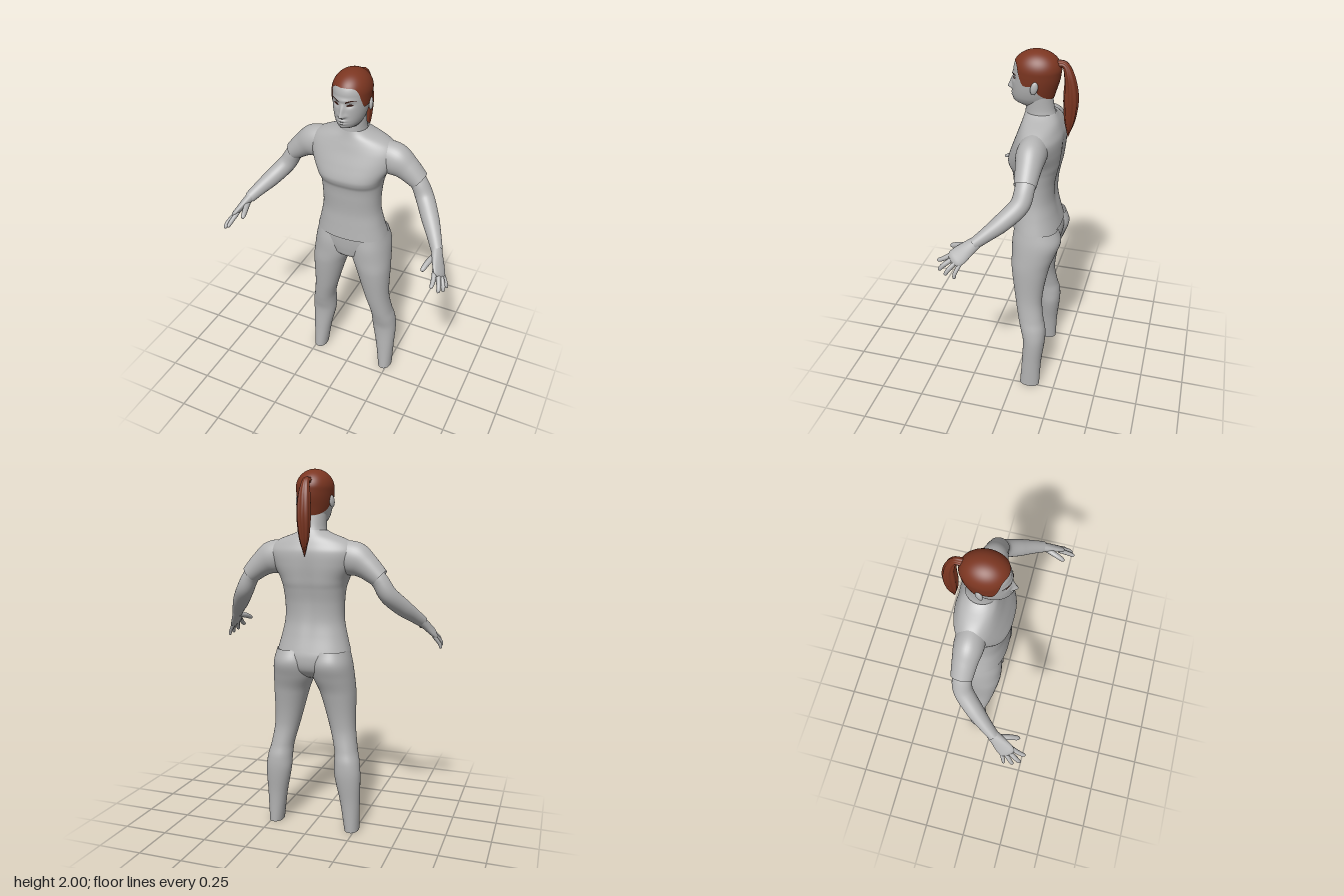
import * as THREE from 'three';
import { mergeVertices } from 'three/addons/utils/BufferGeometryUtils.js';

const grey = new THREE.MeshStandardMaterial({ color: 0xb4b4b4, side: THREE.DoubleSide });
grey.name = 'grey body';
const brown = new THREE.MeshStandardMaterial({ color: 0x7c3621, side: THREE.DoubleSide });
brown.name = 'red brown hair';
const dark = new THREE.MeshStandardMaterial({ color: 0x33160f, side: THREE.DoubleSide });
dark.name = 'dark brown eyes';

const TAU = Math.PI * 2;
const bell = (d, w) => Math.exp(-((d / w) ** 2));

// Smooth interpolation of table rows, keyed by their first column (ascending)
function sample(rows, t) {
  const last = rows.length - 1;
  let i = 0;
  while (i < last - 1 && t > rows[i + 1][0]) i++;
  const a = rows[i], b = rows[i + 1], h = b[0] - a[0];
  const s = Math.min(1, Math.max(0, (t - a[0]) / h));
  const slope = (k, c) => {
    const p = rows[Math.max(0, k - 1)], q = rows[Math.min(last, k + 1)];
    return (q[c] - p[c]) / (q[0] - p[0]);
  };
  return a.map((v, c) => {
    const s2 = s * s, s3 = s2 * s;
    return v * (2 * s3 - 3 * s2 + 1) + b[c] * (3 * s2 - 2 * s3)
      + h * (slope(i, c) * (s3 - 2 * s2 + s) + slope(i + 1, c) * (s3 - s2));
  });
}

// Surface from a function of u and v, both 0..1
function grid(fn, nu, nv) {
  const pos = [], index = [];
  for (let j = 0; j <= nv; j++)
    for (let i = 0; i <= nu; i++) pos.push(...fn(i / nu, j / nv));
  for (let j = 0; j < nv; j++)
    for (let i = 0; i < nu; i++) {
      const a = j * (nu + 1) + i, b = a + 1, c = b + nu + 1, d = a + nu + 1;
      index.push(a, b, c, a, c, d);
    }
  let g = new THREE.BufferGeometry();
  g.setAttribute('position', new THREE.Float32BufferAttribute(pos, 3));
  g.setIndex(index);
  g = mergeVertices(g, 1e-6);
  g.computeVertexNormals();
  return g;
}

// Stack of level rings; rows: y, centre x, half width, front z, back z, squareness
function stack(rows, nu, nv, tweak = (x, y, z) => z) {
  const y0 = rows[0][0], y1 = rows[rows.length - 1][0];
  return grid((u, v) => {
    const [y, cx, rx, zf, zb, n] = sample(rows, y0 + (y1 - y0) * v);
    const s = Math.sin(u * TAU), c = Math.cos(u * TAU);
    const bend = (k) => Math.sign(k) * Math.abs(k) ** (2 / n);
    const x = cx + rx * bend(s), z = (zf + zb) / 2 + ((zf - zb) / 2) * bend(c);
    return [x, y, tweak(x, y, z)];
  }, nu, nv);
}

// Limb along a path; rows: step, x, y, z, radius along ref, radius across ref
function limb(rows, ref, nu, nv, cap = false, ripple = () => 1) {
  const end = rows[rows.length - 1][0];
  const r = new THREE.Vector3(...ref);
  return grid((u, v) => {
    const t = v * end, a = u * TAU;
    const q = sample(rows, t);
    const p0 = sample(rows, Math.max(0, t - 0.02)), p1 = sample(rows, Math.min(end, t + 0.02));
    const tan = new THREE.Vector3(p1[1] - p0[1], p1[2] - p0[2], p1[3] - p0[3]).normalize();
    const n1 = r.clone().addScaledVector(tan, -r.dot(tan)).normalize();
    const n2 = tan.clone().cross(n1);
    const round = cap && v > 0.8 ? Math.sqrt(Math.max(0, 1 - ((v - 0.8) / 0.2) ** 2)) : 1;
    const k = round * ripple(a, v);
    return new THREE.Vector3(q[1], q[2], q[3])
      .addScaledVector(n1, q[4] * k * Math.cos(a))
      .addScaledVector(n2, q[5] * k * Math.sin(a)).toArray();
  }, nu, nv);
}

function flip(geometry) {
  const g = geometry.clone().scale(-1, 1, 1);
  const ix = g.index.array;
  for (let i = 0; i < ix.length; i += 3) [ix[i], ix[i + 1]] = [ix[i + 1], ix[i]];
  g.computeVertexNormals();
  return g;
}

// Skull outline: jaw from rows, crown as half an ellipsoid
const JAW = [
  [1.712, 0.045, -0.005, -0.13], [1.724, 0.05, 0.032, -0.14], [1.736, 0.059, 0.048, -0.145],
  [1.76, 0.072, 0.056, -0.155], [1.80, 0.084, 0.057, -0.167], [1.85, 0.092, 0.055, -0.182],
  [1.90, 0.096, 0.05, -0.19],
];
function skull(y) {
  if (y < 1.9) return sample(JAW, y).slice(1);
  const k = Math.sqrt(Math.max(0, 1 - ((y - 1.9) / 0.1) ** 2));
  return [0.096 * k, -0.07 + 0.12 * k, -0.07 - 0.12 * k];
}
// Nose, eye sockets, brow, lips and chin
function features(x, y) {
  const ridge = y < 1.8 ? bell(y - 1.8, 0.01) : Math.max(0, 1 - (y - 1.8) / 0.065);
  return 0.027 * ridge * bell(x, 0.011 + 0.006 * bell(y - 1.8, 0.013))
    - 0.009 * bell(Math.abs(x) - 0.036, 0.018) * bell(y - 1.856, 0.013)
    + 0.004 * bell(x, 0.06) * bell(y - 1.88, 0.01)
    + 0.008 * bell(x, 0.022) * (bell(y - 1.773, 0.006) + bell(y - 1.758, 0.006))
    + 0.005 * bell(x, 0.02) * bell(y - 1.735, 0.012);
}
function headPoint(a, y, scale = 1) {
  const [rx, zf, zb] = skull(y);
  const x = rx * scale * Math.sin(a), c = Math.cos(a);
  const z = (zf + zb) / 2 + ((zf - zb) / 2) * scale * c;
  return [x, y, z + (c > 0 ? features(x, y) : 0)];
}
// Thin patch lying on the face
function facePatch(x0, x1, mid, half) {
  return grid((u, v) => {
    const x = x0 + (x1 - x0) * u, y = mid(u) + (v * 2 - 1) * half(u);
    const p = headPoint(Math.asin(x / skull(y)[0]), y);
    return [p[0], p[1], p[2] + 0.003];
  }, 14, 4);
}

export function createModel() {
  const model = new THREE.Group();
  const add = (name, geometry, material = grey) => {
    const m = new THREE.Mesh(geometry, material);
    m.name = name;
    model.add(m);
  };
  const pair = (name, geometry, material) => {
    add(name + 'Left', geometry, material);
    add(name + 'Right', flip(geometry), material);
  };

  // Head and face
  add('head', grid((u, v) => headPoint(u * TAU, 1.712 + 0.25 * v), 128, 96));
  pair('eye', facePatch(0.02, 0.054, (u) => 1.855 + 0.003 * u, (u) => 0.0065 * Math.sin(Math.PI * u) + 0.0005), dark);
  pair('eyebrow', facePatch(0.017, 0.066, (u) => 1.872 + 0.01 * Math.sin(u * 2.3), (u) => 0.0045 - 0.003 * u), dark);
  pair('ear', new THREE.SphereGeometry(1, 20, 14).scale(0.011, 0.033, 0.019)
    .rotateX(-0.2).rotateY(0.3).translate(0.097, 1.832, -0.078));
  add('neck', stack([
    [1.60, 0, 0.075, -0.02, -0.185, 2], [1.66, 0, 0.072, -0.012, -0.175, 2],
    [1.70, 0, 0.067, -0.013, -0.162, 2], [1.78, 0, 0.068, -0.02, -0.15, 2],
  ], 40, 14));

  // Hair cap rising from the hairline, and ponytail
  const hairline = [[0, 1.943], [0.7, 1.932], [1.0, 1.87], [1.2, 1.838], [1.6, 1.835],
    [2.0, 1.79], [2.5, 1.765], [3.2, 1.758]];
  add('hairCap', grid((u, v) => {
    const a = u * TAU, low = sample(hairline, Math.min(a, TAU - a))[1];
    return headPoint(a, low + (2 - low) * Math.sin(v * Math.PI / 2), 1.04);
  }, 96, 40), brown);
  add('ponytail', limb([
    [0, 0, 1.935, -0.165, 0.022, 0.02], [1, 0, 1.93, -0.212, 0.02, 0.018],
    [2, 0, 1.86, -0.238, 0.032, 0.028], [3, 0, 1.76, -0.246, 0.036, 0.037],
    [4, 0, 1.65, -0.243, 0.026, 0.028], [5, 0, 1.545, -0.236, 0.005, 0.005],
  ], [1, 0, 0], 48, 60, true, (a, v) => 1 + 0.07 * Math.sin(8 * a + 4 * v)), brown);

  // Shirt body with a spine groove
  add('shirt', stack([
    [1.035, 0, 0.205, 0.046, -0.222, 2.3], [1.12, 0, 0.183, 0.04, -0.2, 2.3],
    [1.20, 0, 0.167, 0.036, -0.186, 2.3], [1.29, 0, 0.165, 0.042, -0.188, 2.4],
    [1.37, 0, 0.172, 0.05, -0.202, 2.5], [1.40, 0, 0.179, 0.064, -0.209, 2.6],
    [1.43, 0, 0.19, 0.069, -0.213, 2.6], [1.50, 0, 0.228, 0.048, -0.22, 2.4],
    [1.57, 0, 0.247, 0.022, -0.22, 2.2], [1.61, 0, 0.228, 0.009, -0.208, 2],
    [1.64, 0, 0.175, -0.001, -0.196, 2], [1.665, 0, 0.105, -0.008, -0.182, 2],
    [1.682, 0, 0.074, -0.012, -0.172, 2],
  ], 72, 80, (x, y, z) => z + (z < -0.1 ? 0.013 * bell(x, 0.035) * bell(y - 1.36, 0.2) : 0)));
  pair('sleeve', limb([
    [0, 0.17, 1.545, -0.1, 0.075, 0.088], [1, 0.24, 1.53, -0.1, 0.076, 0.09],
    [2, 0.3, 1.495, -0.103, 0.066, 0.07], [3, 0.372, 1.435, -0.105, 0.056, 0.052],
  ], [0, 0, 1], 40, 24));

  // Arms
  pair('arm', limb([
    [0, 0.32, 1.475, -0.105, 0.05, 0.046], [1, 0.372, 1.42, -0.104, 0.05, 0.046],
    [2, 0.415, 1.347, -0.088, 0.05, 0.049], [3, 0.475, 1.277, -0.018, 0.046, 0.047],
    [4, 0.525, 1.225, 0.05, 0.036, 0.038], [5, 0.562, 1.185, 0.105, 0.029, 0.031],
  ], [0, 0, 1], 36, 50));

  // Hands: flat palm with separate fingers
  pair('palm', limb([
    [0, 0.555, 1.193, 0.092, 0.031, 0.027], [1, 0.576, 1.164, 0.13, 0.039, 0.023],
    [2, 0.6, 1.13, 0.17, 0.047, 0.018], [3, 0.622, 1.1, 0.207, 0.045, 0.014],
  ], [0.03, -0.04, -0.06], 28, 24, true));
  const fingers = {
    indexFinger: [[0.588, 1.133, 0.195], [0.6, 1.1, 0.25], [0.602, 1.083, 0.287], 0.012],
    middleFinger: [[0.604, 1.12, 0.19], [0.63, 1.08, 0.243], [0.637, 1.05, 0.268], 0.012],
    ringFinger: [[0.614, 1.108, 0.175], [0.645, 1.065, 0.215], [0.652, 1.035, 0.231], 0.011],
    littleFinger: [[0.618, 1.098, 0.158], [0.647, 1.055, 0.178], [0.656, 1.025, 0.182], 0.01],
    thumb: [[0.562, 1.168, 0.122], [0.543, 1.155, 0.185], [0.53, 1.133, 0.24], 0.015],
  };
  for (const [name, [a, b, c, r]] of Object.entries(fingers))
    pair(name, limb([[0, ...a, r * 1.1, r * 1.1], [1, ...b, r, r], [2, ...c, r * 0.8, r * 0.8]],
      [1, 0, 0], 14, 18, true));

  // Hips and legs
  add('hips', stack([
    [0.872, 0, 0.03, -0.03, -0.12, 2], [0.89, 0, 0.12, 0.012, -0.165, 2],
    [0.93, 0, 0.195, 0.026, -0.212, 2], [1.0, 0, 0.208, 0.034, -0.225, 2.2],
    [1.08, 0, 0.19, 0.036, -0.205, 2.2],
  ], 56, 24));
  // Leg rows given as y, inner x, outer x, front z, back z
  const leg = [
    [0, 0.19, 0.27, -0.04, -0.157], [0.17, 0.165, 0.275, -0.05, -0.165],
    [0.33, 0.133, 0.279, -0.053, -0.182], [0.41, 0.13, 0.27, -0.036, -0.18],
    [0.47, 0.126, 0.255, -0.022, -0.166], [0.6, 0.093, 0.237, 0.002, -0.152],
    [0.8, 0.037, 0.236, 0.03, -0.184], [0.89, 0.002, 0.23, 0.032, -0.216],
    [0.97, 0, 0.22, 0.031, -0.24], [1.04, 0.015, 0.203, 0.02, -0.218],
  ].map(([y, xi, xo, zf, zb]) => [y, (xi + xo) / 2, (xo - xi) / 2, zf, zb, 2.15]);
  pair('leg', stack(leg, 48, 70));
  pair('ankleEnd', new THREE.CircleGeometry(1, 40).rotateX(Math.PI / 2)
    .scale(0.04, 1, 0.058).translate(0.23, 0.001, -0.0985));

  return model;
}
